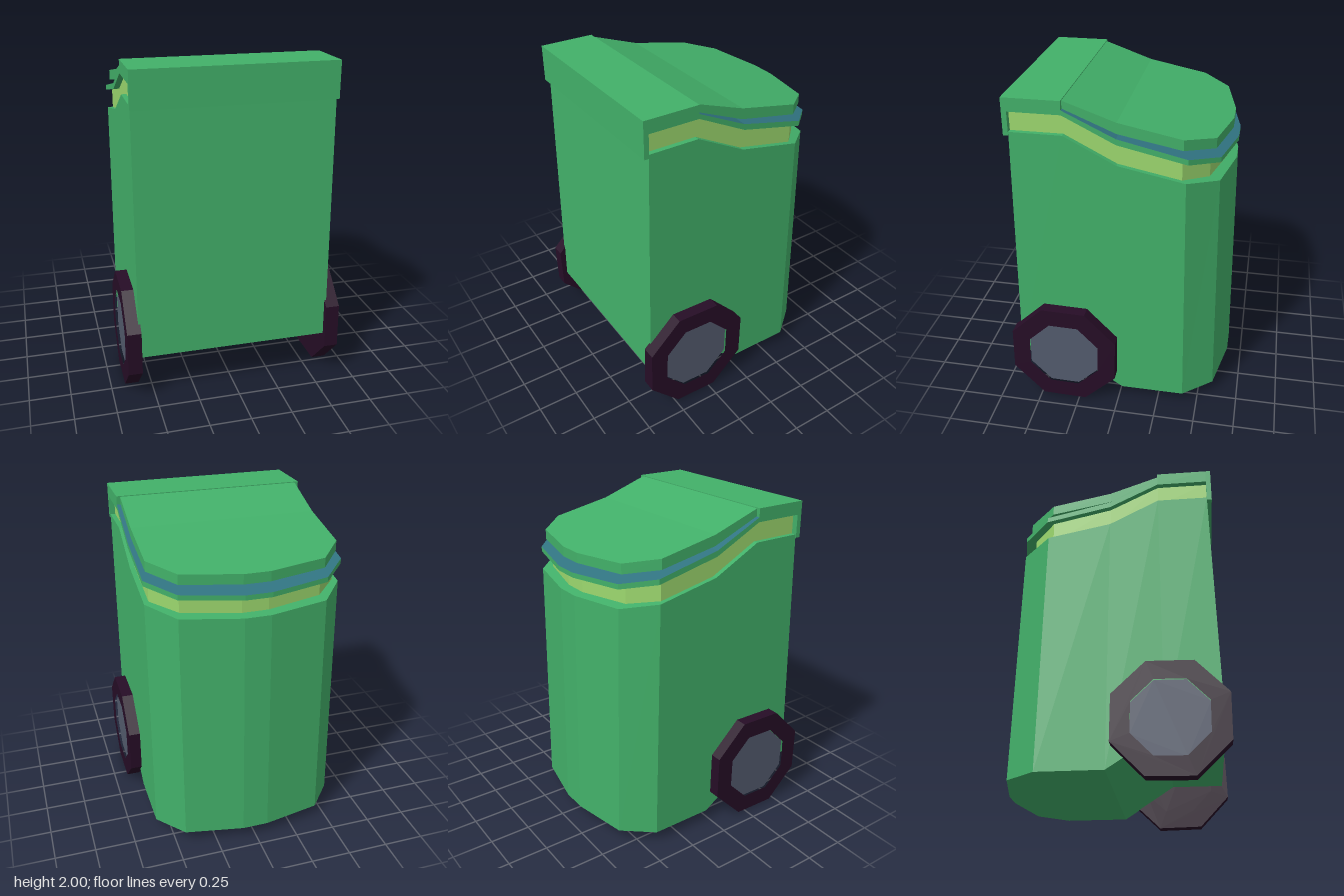
import * as THREE from 'three';

const mat = (name, color, side = THREE.FrontSide) => {
  const m = new THREE.MeshStandardMaterial({ color, side });
  m.name = name;
  return m;
};

// Height at z on a front-to-back profile of [z, y] points
function heightAt(profile, z) {
  for (let i = 1; i < profile.length; i++) {
    const [z0, y0] = profile[i - 1], [z1, y1] = profile[i];
    if (z >= z1 || i === profile.length - 1) return y0 + (y1 - y0) * (z - z0) / (z1 - z0);
  }
}

// Lofts rectangular sections [half width, top z, top y, bottom z, bottom y], front to back.
// Group 0 is the top surface, group 1 everything else.
function loft(rows) {
  const top = [], rest = [];
  const quad = (out, a, b, c, d) => out.push(...a, ...b, ...c, ...a, ...c, ...d);
  const sec = rows.map(([w, zt, yt, zb, yb]) => ({
    tl: [-w, yt, zt], tr: [w, yt, zt], br: [w, yb, zb], bl: [-w, yb, zb],
  }));
  for (let i = 1; i < sec.length; i++) {
    const a = sec[i - 1], b = sec[i];
    quad(top, a.tl, a.tr, b.tr, b.tl);
    quad(rest, a.br, a.bl, b.bl, b.br);
    quad(rest, a.br, b.br, b.tr, a.tr);
    quad(rest, b.bl, a.bl, a.tl, b.tl);
  }
  const f = sec[0], e = sec[sec.length - 1];
  quad(rest, f.bl, f.br, f.tr, f.tl);
  quad(rest, e.br, e.bl, e.tl, e.tr);
  const g = new THREE.BufferGeometry();
  g.setAttribute('position', new THREE.Float32BufferAttribute([...top, ...rest], 3));
  g.computeVertexNormals();
  g.addGroup(0, top.length / 3, 0);
  g.addGroup(top.length / 3, rest.length / 3, 1);
  return g;
}

// Slab over a plan of [z, half width], between two height profiles
const slab = (plan, upper, lower) =>
  loft(plan.map(([z, w]) => [w, z, heightAt(upper, z), z, heightAt(lower, z)]));

export function createModel() {
  const model = new THREE.Group();
  model.name = 'wheeledBin';
  const green = mat('bin green', 0x42b069);
  const lime = mat('neck lime', 0x9cd86e);
  const blue = mat('rim blue', 0x317482);
  const dark = mat('tyre dark', 0x260d26);
  const grey = mat('hub grey', 0x535b6d);

  const add = (name, geometry, material, parent = model) => {
    const m = new THREE.Mesh(geometry, material);
    m.name = name;
    parent.add(m);
    return m;
  };

  // Body with faceted back and cut-away underside at the front
  const bodyTop = [[0.605, 1.8], [0.3, 1.8], [0, 1.645], [-0.63, 1.52]];
  const bodyRows = [
    [0.59, 0.605, 0.635, 0.28], [0.59, 0.3, 0.305, 0.28], [0.59, 0, -0.02, 0.07],
    [0.59, -0.385, -0.41, 0.07], [0.44, -0.56, -0.59, 0.07], [0.08, -0.63, -0.66, 0.07],
  ].map(([w, zt, zb, yb]) => [w, zt, heightAt(bodyTop, zt), zb, yb]);
  add('body', loft(bodyRows), [green, green]);

  // Recessed neck under the rim
  const rimLower = [[0.3, 1.92], [0, 1.77], [-0.635, 1.63]];
  add('neck', slab(
    [[0.605, 0.56], [0.3, 0.56], [0, 0.56], [-0.36, 0.56], [-0.5, 0.42], [-0.575, 0.08]],
    [[0.605, 1.93], [0.3, 1.93], [0, 1.78], [-0.635, 1.64]],
    bodyTop.map(([z, y]) => [z, y - 0.02])), [lime, lime]);

  // Rim plate with a blue upper face
  add('rim', slab(
    [[0.3, 0.595], [0, 0.595], [-0.395, 0.595], [-0.56, 0.44], [-0.635, 0.08]],
    [[0.3, 1.948], [0, 1.805], [-0.635, 1.66]], rimLower), [blue, green]);

  // Lid, held slightly open above the rim
  add('lid', slab(
    [[0.3, 0.572], [0, 0.572], [-0.365, 0.572], [-0.53, 0.43], [-0.6, 0.08]],
    [[0.3, 1.995], [0, 1.89], [-0.6, 1.77]],
    [[0.3, 1.95], [0, 1.825], [-0.6, 1.71]]), [green, green]);

  // Hood: flat top slab and hanging front lip
  const hoodTop = add('hoodTop', new THREE.BoxGeometry(1.19, 0.08, 0.305), green);
  hoodTop.position.set(0, 1.96, 0.4525);
  const hoodLip = add('hoodLip', new THREE.BoxGeometry(1.19, 0.22, 0.03), green);
  hoodLip.position.set(0, 1.89, 0.62);

  // Octagonal wheels: tyre ring with a slightly sunken hub
  const octagon = (Type, r) => new Type(Array.from({ length: 8 }, (_, i) => {
    const a = (i + 0.5) * Math.PI / 4 + 0.02;
    return new THREE.Vector2(-Math.cos(a) * r, Math.sin(a) * r);
  }));
  const ring = octagon(THREE.Shape, 0.355);
  ring.holes.push(octagon(THREE.Path, 0.236));
  const tyreGeo = new THREE.ExtrudeGeometry(ring, { depth: 0.085, bevelEnabled: false });
  const hubGeo = new THREE.ExtrudeGeometry(octagon(THREE.Shape, 0.237), { depth: 0.03, bevelEnabled: false });
  const backGeo = new THREE.ExtrudeGeometry(octagon(THREE.Shape, 0.237), { depth: 0.04, bevelEnabled: false });
  for (const [name, s] of [['leftWheel', 1], ['rightWheel', -1]]) {
    const wheel = new THREE.Group();
    wheel.name = name;
    add('tyre', tyreGeo, dark, wheel);
    add('wheelBack', backGeo, dark, wheel);
    add('hub', hubGeo, grey, wheel).position.z = 0.04;
    wheel.position.set(s * 0.578, 0.333, 0.34);
    wheel.rotation.y = s * Math.PI / 2;
    model.add(wheel);
  }
  return model;
}
